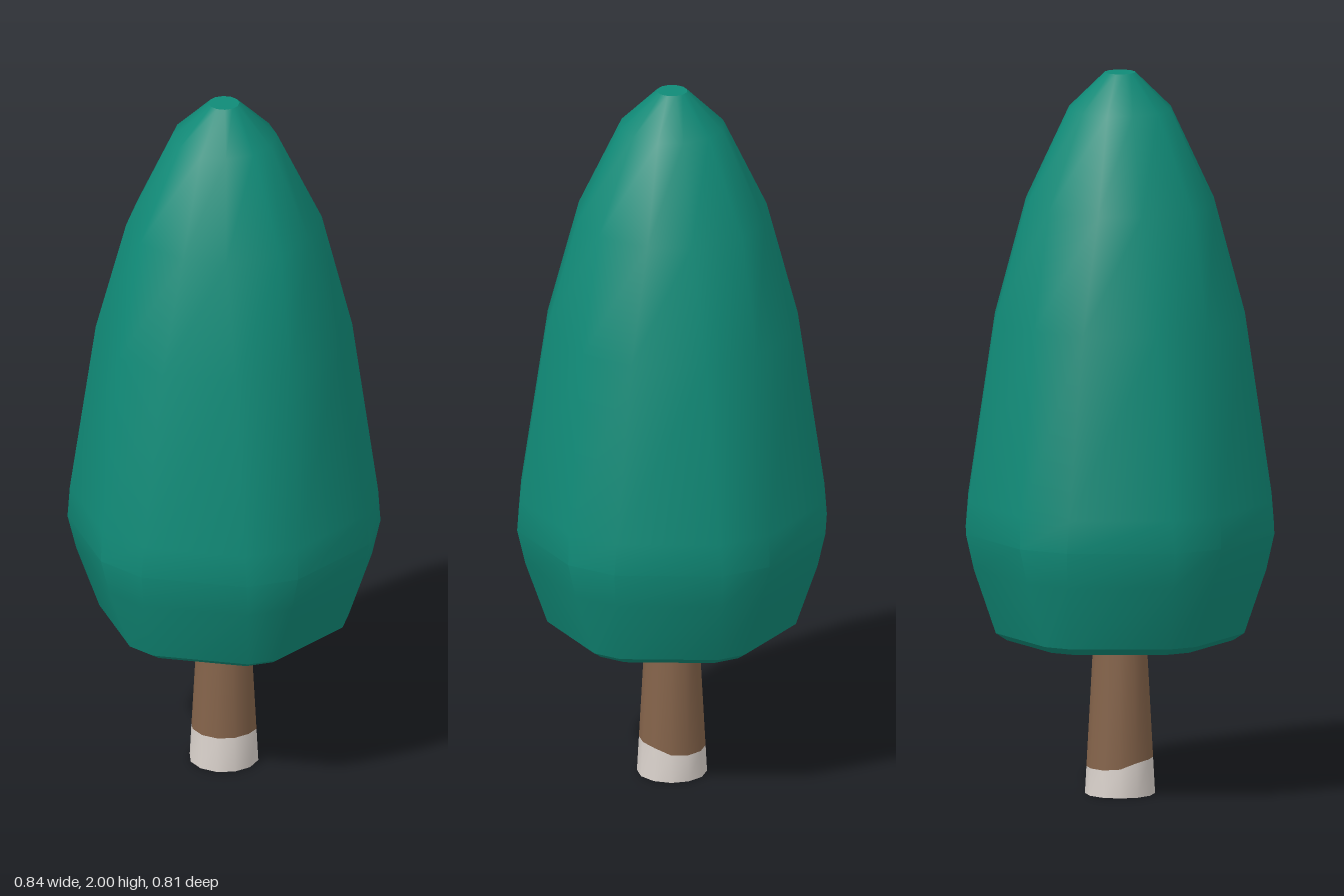
import * as THREE from 'three';
import { toCreasedNormals } from 'three/addons/utils/BufferGeometryUtils.js';

const SIDES = 12;

// Skin a stack of rings (bottom to top), optionally closing both ends
function loft(rings, capped) {
  const pos = rings.flat(2);
  const index = [];
  const n = SIDES;
  for (let r = 0; r < rings.length - 1; r++) {
    for (let i = 0; i < n; i++) {
      const j = (i + 1) % n;
      const a = r * n + i, b = r * n + j, c = b + n, d = a + n;
      index.push(a, d, b, b, d, c);
    }
  }
  if (capped) {
    const last = (rings.length - 1) * n;
    const bottom = rings.length * n, top = bottom + 1;
    pos.push(0, rings[0][0][1], 0, 0, rings[rings.length - 1][0][1], 0);
    for (let i = 0; i < n; i++) {
      const j = (i + 1) % n;
      index.push(bottom, i, j, top, last + j, last + i);
    }
  }
  const geo = new THREE.BufferGeometry();
  geo.setAttribute('position', new THREE.Float32BufferAttribute(pos, 3));
  geo.setIndex(index);
  return toCreasedNormals(geo, 0.6);
}

// Hexagon with cut corners; halfAngle (degrees) sets how wide each cut is
function crownRing([y, halfWidth, halfAngle]) {
  const radius = halfWidth / Math.cos(THREE.MathUtils.degToRad(halfAngle));
  return Array.from({ length: SIDES }, (_, i) => {
    const deg = Math.floor(i / 2) * 60 + (i % 2 ? halfAngle : -halfAngle);
    const t = THREE.MathUtils.degToRad(deg);
    return [radius * Math.cos(t), y, radius * Math.sin(t)];
  });
}

// Trunk ring whose height may vary with direction
function trunkRing(heightAt) {
  return Array.from({ length: SIDES }, (_, i) => {
    const t = (i / SIDES) * Math.PI * 2;
    const y = heightAt(Math.sin(t));
    const radius = 0.096 - 0.054 * y;
    return [radius * Math.cos(t), y, radius * Math.sin(t)];
  });
}

export function createModel() {
  const tree = new THREE.Group();
  tree.name = 'tree';

  const material = (name, color, side = THREE.FrontSide) => {
    const m = new THREE.MeshStandardMaterial({ color, side });
    m.name = name;
    return m;
  };
  const add = (name, geo, mat) => {
    const mesh = new THREE.Mesh(geo, mat);
    mesh.name = name;
    tree.add(mesh);
  };

  // Crown: height, half width, corner half angle
  const profile = [
    [0.43, 0.31, 7], [0.45, 0.34, 7], [0.63, 0.4, 9], [0.73, 0.422, 10],
    [0.82, 0.415, 10.5], [1.32, 0.342, 13], [1.64, 0.257, 17],
    [1.9, 0.139, 16], [2.0, 0.041, 15],
  ];
  add('crown', loft(profile.map(crownRing), true), material('foliage green', 0x108a77));

  // Trunk with a painted base whose edge steps down toward the back
  const paintEdge = (s) => 0.0875 + 0.0125 * THREE.MathUtils.clamp(s * 2.5 + 0.6, -1, 1);
  add('trunk', loft([trunkRing(paintEdge), trunkRing(() => 0.45)], false),
    material('bark brown', 0x84634a, THREE.DoubleSide));
  add('paintedBase', loft([trunkRing(() => 0), trunkRing(paintEdge)], false),
    material('pale paint', 0xdad2cc, THREE.DoubleSide));

  return tree;
}
